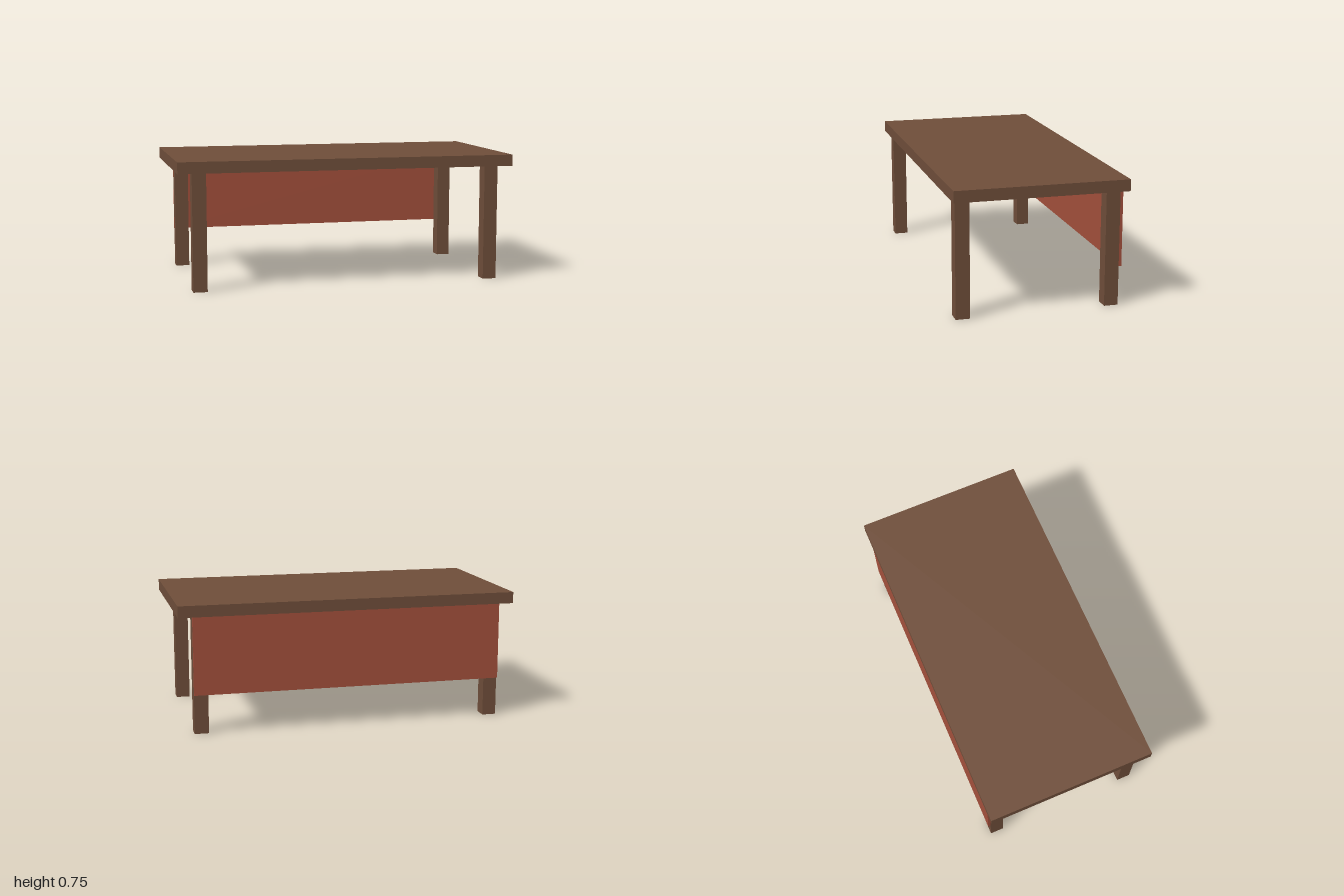
import * as THREE from 'three';

const wood = new THREE.MeshStandardMaterial({ color: 0x6f4e3a });
const red = new THREE.MeshStandardMaterial({ color: 0xa4503c });

// Box given by its size, centre in x and z, and the height of its underside
function box(name, material, [w, h, d], [x, bottom, z]) {
  const mesh = new THREE.Mesh(new THREE.BoxGeometry(w, h, d), material);
  mesh.name = name;
  mesh.position.set(x, bottom + h / 2, z);
  return mesh;
}

export function createModel() {
  const desk = new THREE.Group();
  desk.name = 'desk';

  const height = 0.752, topThickness = 0.067;
  const legHeight = height - topThickness;
  const legSize = 0.082, legX = 0.876, legZ = 0.433;

  // Table top
  desk.add(box('tableTop', wood, [2, topThickness, 1], [0, legHeight, 0]));

  // Four square legs
  for (const [side, sx] of [['Left', 1], ['Right', -1]]) {
    for (const [end, sz] of [['front', 1], ['back', -1]]) {
      desk.add(box(`${end}${side}Leg`, wood, [legSize, legHeight, legSize], [sx * legX, 0, sz * legZ]));
    }
  }

  // Modesty panel fixed to the outside of the back legs
  const panelBottom = 0.23, panelThickness = 0.016;
  desk.add(box('modestyPanel', red,
    [2 * legX + legSize, legHeight - panelBottom, panelThickness],
    [0, panelBottom, -legZ - legSize / 2 - panelThickness / 2]));

  return desk;
}
